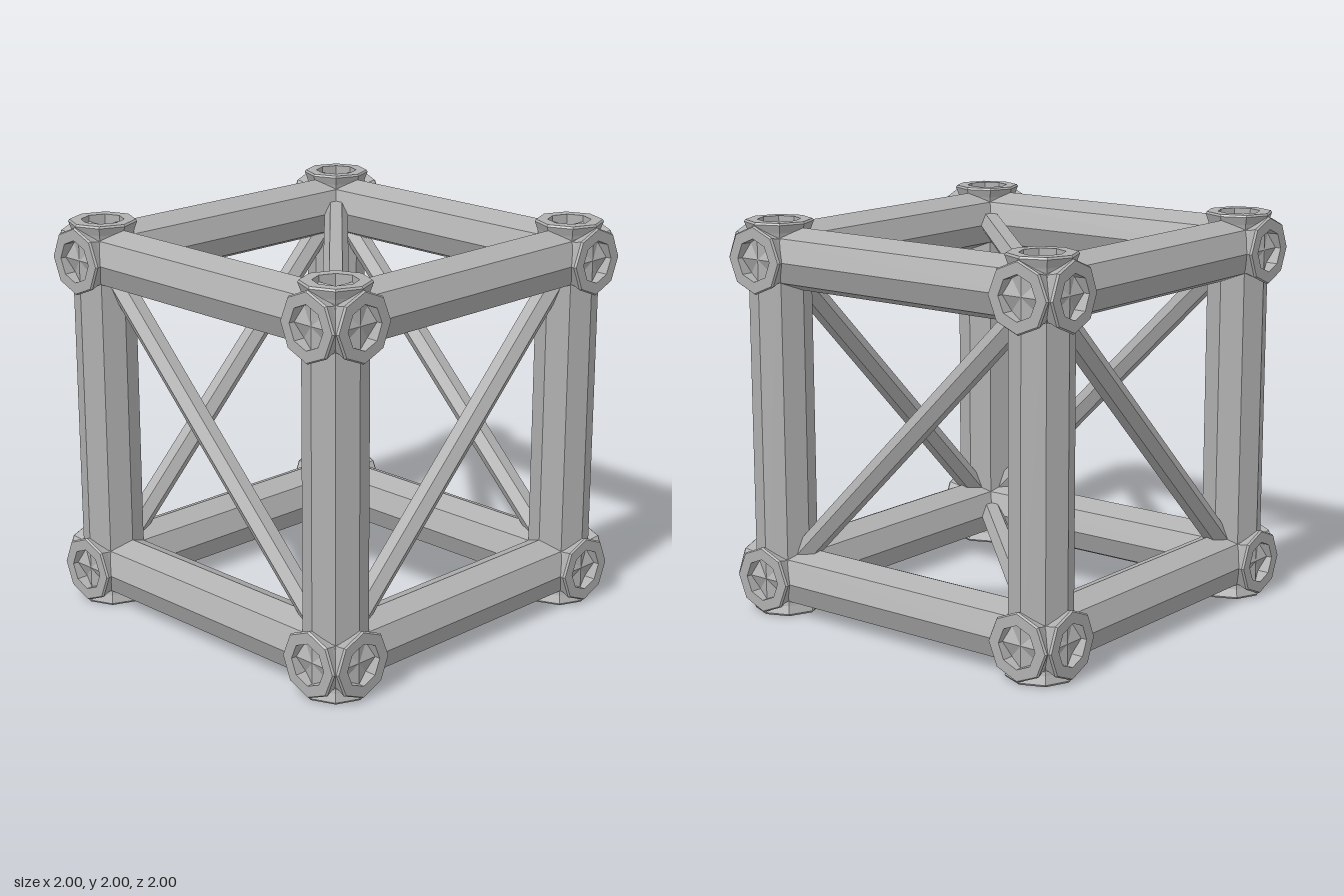
import * as THREE from 'three';

const N = 0.815;          // distance of the corner nodes from the centre
const BEAM_END = 0.93;

export function createModel() {
  const group = new THREE.Group();
  const steel = new THREE.MeshStandardMaterial({ color: 0xb0b0b0, flatShading: true });
  steel.name = 'grey steel';

  // Octagonal beam along y, corners on the axes
  const beamGeo = new THREE.CylinderGeometry(0.155, 0.155, BEAM_END * 2, 8, 1, true);

  // Flared octagonal collar with an open hole through it
  const collarGeo = new THREE.LatheGeometry([
    [0.15, 0.92], [0.156, 0.95], [0.171, 0.99], [0.164, 1], [0.107, 1], [0.105, 0.92],
  ].map(([r, y]) => new THREE.Vector2(r, y)), 8);

  // Hexagonal diagonal brace along y
  const braceGeo = new THREE.CylinderGeometry(0.062, 0.062, N * 2 * Math.SQRT2, 6);

  const add = (parent, geo, name) => {
    const mesh = new THREE.Mesh(geo, steel);
    mesh.name = name;
    parent.add(mesh);
    return mesh;
  };

  const frame = new THREE.Group();
  frame.name = 'cubeFrame';
  frame.position.y = 1;
  group.add(frame);

  // Four beams along each axis, with a collar at both ends
  const turns = { y: [0, 0, 0], x: [0, 0, -Math.PI / 2], z: [Math.PI / 2, 0, 0] };
  for (const axis of ['x', 'y', 'z']) {
    const [u, v] = ['x', 'y', 'z'].filter((a) => a !== axis);
    for (const a of [-N, N]) {
      for (const b of [-N, N]) {
        const post = new THREE.Group();
        post.name = axis === 'y' ? 'uprightBeam' : 'horizontalBeam';
        post.rotation.set(...turns[axis]);
        post.position[u] = a;
        post.position[v] = b;
        add(post, beamGeo, 'beam');
        add(post, collarGeo, 'endCollar');
        add(post, collarGeo, 'endCollar').rotation.x = Math.PI;
        frame.add(post);
      }
    }
  }

  // One diagonal brace per face; opposite faces run the same way
  const braces = [
    { normal: 'z', dir: [1, -1, 0], ridge: [0, 0, 1], name: 'frontBackBrace' },
    { normal: 'x', dir: [0, 1, -1], ridge: [1, 0, 0], name: 'sideBrace' },
    { normal: 'y', dir: [1, 0, 1], ridge: [1, 0, -1], name: 'topBottomBrace' },
  ];
  for (const { normal, dir, ridge, name } of braces) {
    const y = new THREE.Vector3(...dir).normalize();
    const z = new THREE.Vector3(...ridge).normalize();
    const x = new THREE.Vector3().crossVectors(y, z);
    const basis = new THREE.Matrix4().makeBasis(x, y, z);
    for (const s of [-N, N]) {
      const brace = add(frame, braceGeo, name);
      brace.quaternion.setFromRotationMatrix(basis);
      brace.position[normal] = s;
    }
  }
  return group;
}
